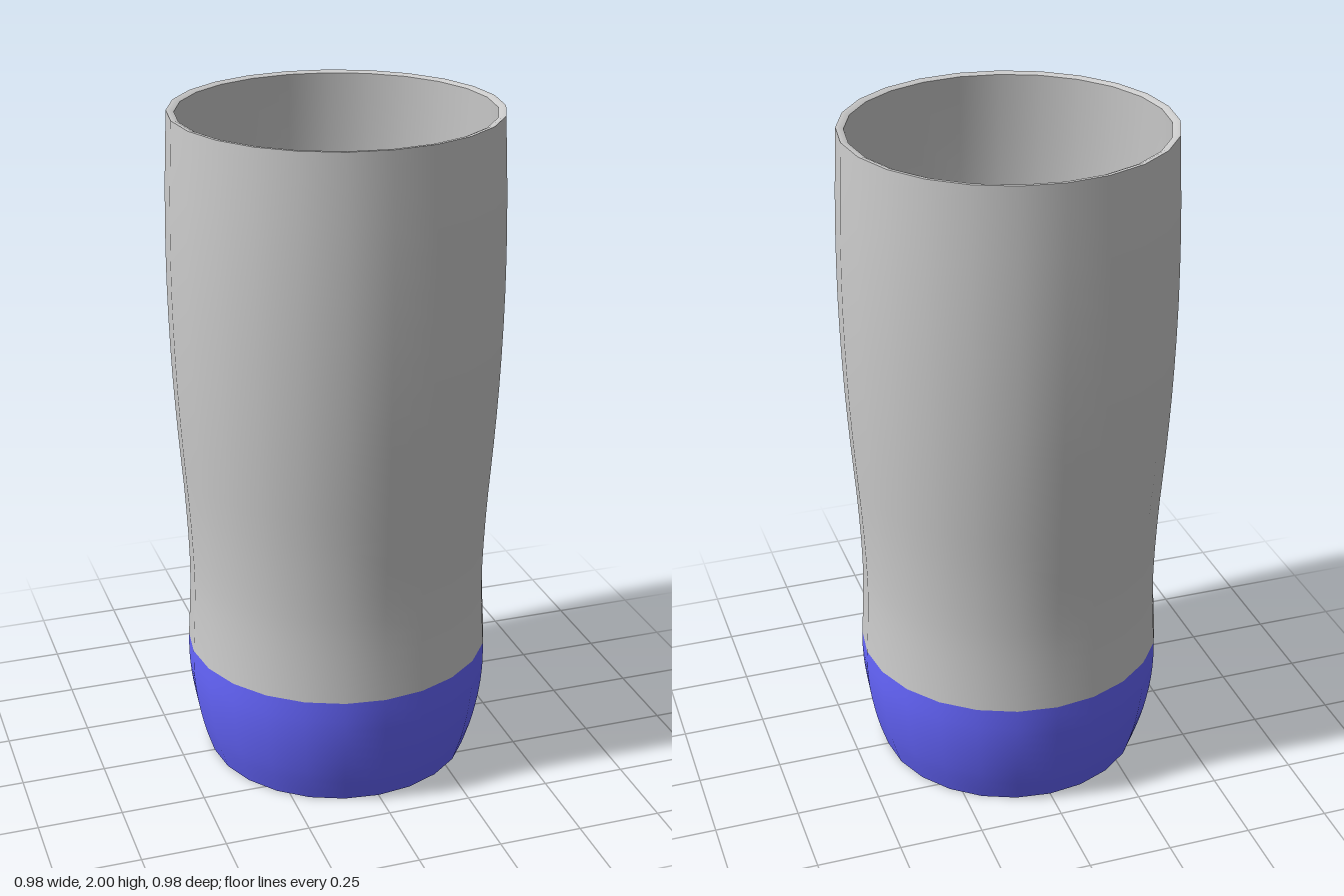
import * as THREE from 'three';

const SIDES = 24;

// Samples a smooth curve through [radius, height] points
function smooth(points, steps) {
  return new THREE.SplineCurve(points.map(([r, y]) => new THREE.Vector2(r, y))).getPoints(steps);
}

export function createModel() {
  const model = new THREE.Group();
  const grey = new THREE.MeshStandardMaterial({ color: 0xcccccc });
  const blue = new THREE.MeshStandardMaterial({ color: 0x6666ff });

  // Each profile is its own lathe, so edges between them stay sharp
  function turn(name, profile, material, parent) {
    const points = profile.map((p) => (p.isVector2 ? p : new THREE.Vector2(p[0], p[1])));
    const mesh = new THREE.Mesh(new THREE.LatheGeometry(points, SIDES), material);
    mesh.name = name;
    parent.add(mesh);
  }

  // Waisted cup wall, listed upwards outside and downwards inside
  const body = new THREE.Group();
  body.name = 'cupBody';
  turn('outerWall', smooth([
    [0.457, 0.36], [0.45, 0.48], [0.447, 0.62], [0.455, 0.82], [0.47, 1.03],
    [0.482, 1.25], [0.488, 1.5], [0.485, 1.75], [0.474, 2],
  ], 20), grey, body);
  turn('rim', [[0.474, 2], [0.464, 2.0], [0.452, 1.995]], grey, body);
  turn('innerWall', smooth([
    [0.452, 1.995], [0.463, 1.75], [0.466, 1.5], [0.46, 1.25], [0.448, 1.03],
    [0.433, 0.82], [0.425, 0.62], [0.428, 0.48], [0.435, 0.36],
  ], 20), grey, body);

  // Coloured base with a hollow inside and a closed floor
  const base = new THREE.Group();
  base.name = 'cupBase';
  turn('baseOuterWall', smooth([
    [0.4, 0], [0.428, 0.09], [0.448, 0.19], [0.457, 0.28], [0.457, 0.36],
  ], 10), blue, base);
  turn('baseInnerWall', smooth([
    [0.435, 0.36], [0.434, 0.28], [0.425, 0.19], [0.408, 0.11], [0.392, 0.06],
  ], 10), blue, base);
  turn('floorBevel', [[0.392, 0.06], [0.372, 0.04]], blue, base);
  turn('floor', [[0.372, 0.04], [0, 0.04]], blue, base);
  turn('underside', [[0, 0], [0.4, 0]], blue, base);

  model.add(body, base);
  return model;
}
